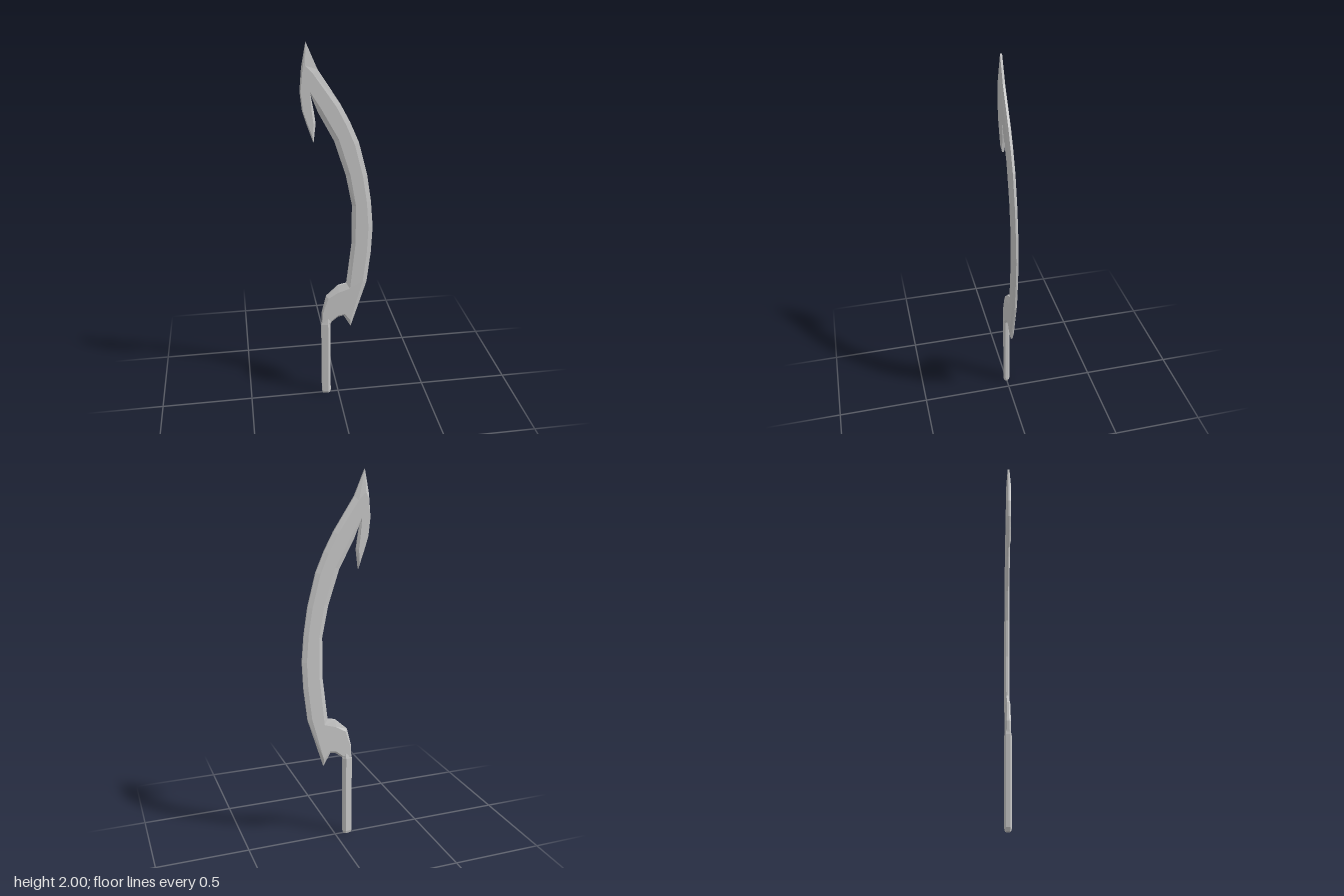
import * as THREE from 'three';

const material = new THREE.MeshStandardMaterial({ color: 0xcccccc, flatShading: true });

function meshFrom(name, positions) {
  const geometry = new THREE.BufferGeometry();
  geometry.setAttribute('position', new THREE.Float32BufferAttribute(positions, 3));
  geometry.computeVertexNormals();
  const mesh = new THREE.Mesh(geometry, material);
  mesh.name = name;
  return mesh;
}

// Bevelled plate: each row is an edge point followed by the matching point on the flat face
function bevelledPlate(name, rows, half, edgeHalf) {
  const positions = [];
  const tri = (a, b, c) => positions.push(...a, ...b, ...c);
  const quad = (a, b, c, d) => { tri(a, b, c); tri(a, c, d); };
  const edge = (i, s) => [rows[i][0], rows[i][1], s * edgeHalf];
  const face = (i, s) => [rows[i][2], rows[i][3], s * half];
  const inner = rows.map((r) => new THREE.Vector2(r[2], r[3]));
  for (const [a, b, c] of THREE.ShapeUtils.triangulateShape(inner, [])) {
    tri(face(a, 1), face(b, 1), face(c, 1));
    tri(face(c, -1), face(b, -1), face(a, -1));
  }
  rows.forEach((_, i) => {
    const j = (i + 1) % rows.length;
    quad(edge(i, 1), edge(j, 1), face(j, 1), face(i, 1));
    quad(edge(j, -1), edge(i, -1), face(i, -1), face(j, -1));
    quad(edge(i, -1), edge(j, -1), edge(j, 1), edge(i, 1));
  });
  return meshFrom(name, positions);
}

// Loft through rings of equal length, with fan caps
function loft(name, rings) {
  const positions = [];
  const tri = (a, b, c) => positions.push(...a, ...b, ...c);
  const n = rings[0].length;
  for (let k = 0; k + 1 < rings.length; k++) {
    for (let i = 0; i < n; i++) {
      const j = (i + 1) % n, lo = rings[k], hi = rings[k + 1];
      tri(lo[i], lo[j], hi[j]);
      tri(lo[i], hi[j], hi[i]);
    }
  }
  const top = rings[rings.length - 1];
  for (let i = 1; i + 1 < n; i++) {
    tri(rings[0][0], rings[0][i + 1], rings[0][i]);
    tri(top[0], top[i], top[i + 1]);
  }
  return meshFrom(name, positions);
}

// Handle ring: blunt back, ridge on each side, narrow front
function handleRing(y, back, ridge, front, depth) {
  return [
    [back, y, depth * 0.6], [ridge, y, depth], [front, y, depth * 0.45],
    [front, y, -depth * 0.45], [ridge, y, -depth], [back, y, -depth * 0.6],
  ];
}

export function createModel() {
  const group = new THREE.Group();
  group.name = 'hookedSword';

  const outline = [
    // tip and back of the hooked head
    [-0.155, 2.0, -0.16, 1.89],
    [-0.178, 1.88, -0.174, 1.86],
    [-0.188, 1.765, -0.184, 1.765],
    [-0.178, 1.67, -0.174, 1.67],
    [-0.155, 1.595, -0.151, 1.6],
    // barb and notch
    [-0.124, 1.505, -0.129, 1.54],
    [-0.112, 1.605, -0.124, 1.605],
    [-0.121, 1.67, -0.132, 1.67],
    [-0.136, 1.75, -0.139, 1.765],
    // inner curve of the blade
    [-0.1, 1.66, -0.083, 1.675],
    [-0.02, 1.51, 0.003, 1.52],
    [0.04, 1.325, 0.062, 1.33],
    [0.073, 1.16, 0.092, 1.16],
    [0.073, 0.945, 0.092, 0.945],
    [0.045, 0.706, 0.064, 0.675],
    // guard
    [0.0, 0.696, 0.0, 0.655],
    [-0.066, 0.635, -0.055, 0.622],
    [-0.092, 0.53, -0.086, 0.53],
    [-0.092, 0.465, -0.086, 0.472],
    [-0.045, 0.465, -0.046, 0.475],
    [0.0, 0.5, -0.003, 0.511],
    [0.03, 0.505, 0.035, 0.518],
    // lower spike and outer curve of the blade
    [0.07, 0.435, 0.069, 0.475],
    [0.156, 0.71, 0.134, 0.715],
    [0.177, 0.89, 0.154, 0.89],
    [0.184, 1.035, 0.16, 1.035],
    [0.172, 1.18, 0.149, 1.178],
    [0.15, 1.325, 0.127, 1.318],
    [0.105, 1.5, 0.083, 1.49],
    [0.06, 1.605, 0.039, 1.593],
    [0.01, 1.7, -0.01, 1.687],
    [-0.1, 1.87, -0.122, 1.85],
  ];
  group.add(bevelledPlate('bladeAndGuard', outline, 0.013, 0.005));

  group.add(loft('handle', [
    handleRing(0, -0.088, -0.058, -0.049, 0.014),
    handleRing(0.015, -0.094, -0.058, -0.044, 0.018),
    handleRing(0.46, -0.094, -0.058, -0.044, 0.019),
    handleRing(0.5, -0.088, -0.058, -0.022, 0.012),
  ]));
  return group;
}
